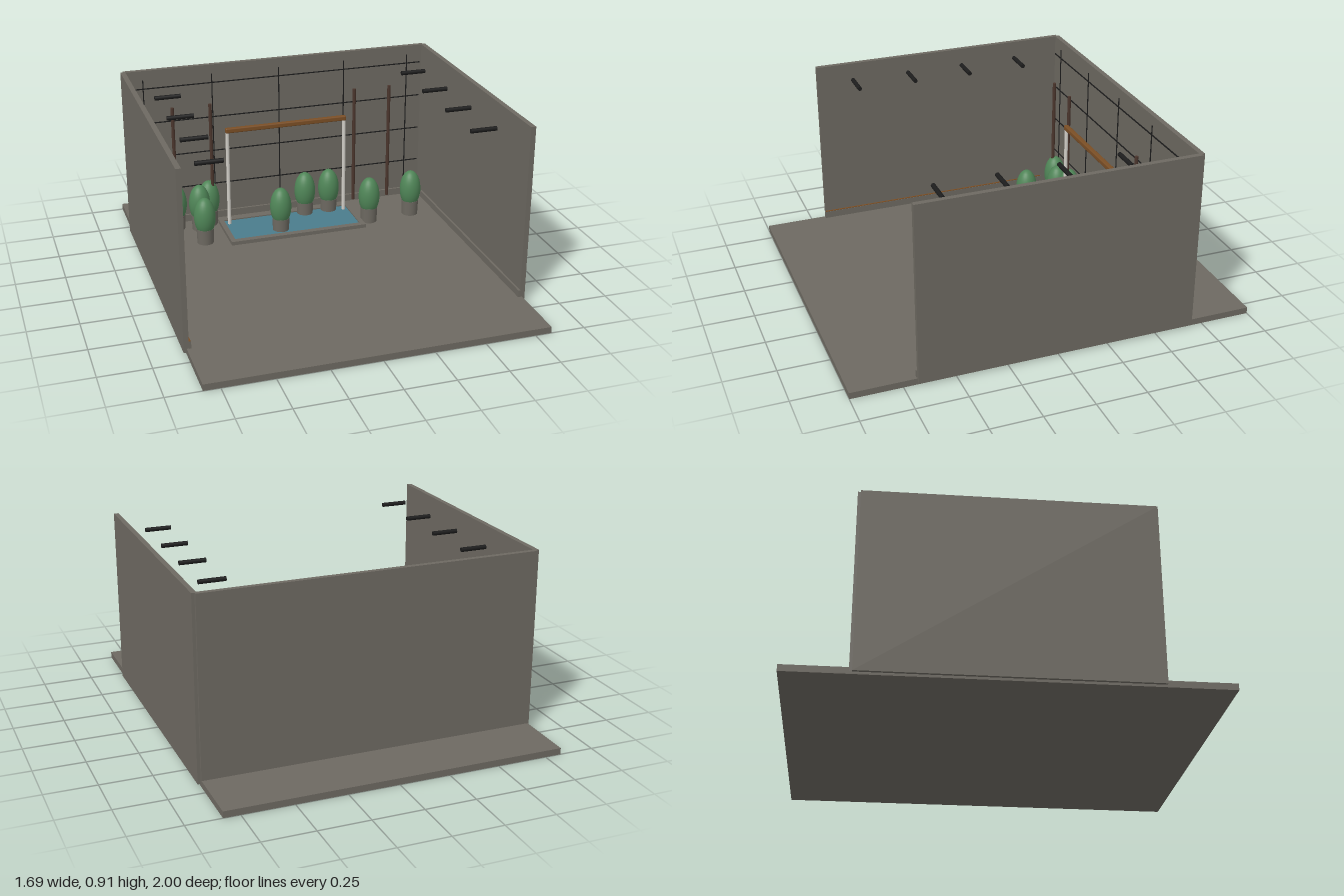
import * as THREE from 'three';
import { RoundedBoxGeometry } from 'three/addons/geometries/RoundedBoxGeometry.js';

function material(name, color) {
  const m = new THREE.MeshStandardMaterial({ color });
  m.name = name;
  return m;
}

export function createModel() {
  const stone = material('warm grey stone', 0x6d6961);
  const black = material('black metal', 0x1c1c1c);
  const darkWood = material('dark wood', 0x4a352c);
  const wood = material('wood', 0x7a4e25);
  const white = material('pale post', 0xd0cdc6);
  const water = material('water', 0x4a7c8c);
  const leaf = material('leaf green', 0x4f8557);

  const model = new THREE.Group();
  model.name = 'courtyard';

  function add(name, geometry, mat, x, y, z, parent = model) {
    const mesh = new THREE.Mesh(geometry, mat);
    mesh.name = name;
    mesh.position.set(x, y, z);
    parent.add(mesh);
    return mesh;
  }
  // Box given by its lower and upper limits on each axis
  function box(name, mat, x0, x1, y0, y1, z0, z1) {
    return add(name, new THREE.BoxGeometry(x1 - x0, y1 - y0, z1 - z0), mat,
      (x0 + x1) / 2, (y0 + y1) / 2, (z0 + z1) / 2);
  }

  // Floor slab and three walls
  box('floor', stone, -0.83, 0.83, 0, 0.032, -1, 1);
  box('backWall', stone, -0.83, 0.83, 0.012, 0.91, -0.697, -0.672);
  for (const s of [-1, 1]) {
    const side = s < 0 ? 'right' : 'left';
    add(side + 'Wall', new THREE.BoxGeometry(0.025, 0.898, 1.366), stone, s * 0.832, 0.461, 0);
    add(side + 'Baseboard', new THREE.BoxGeometry(0.012, 0.036, 1.28), stone, s * 0.815, 0.05, 0.046);
  }
  box('backBaseboard', stone, -0.818, 0.818, 0.032, 0.07, -0.672, -0.66);
  box('baseboardTrim', wood, -0.82, -0.811, 0.068, 0.071, -0.59, 0.683);

  // Panel joints on the back wall
  for (const y of [0.235, 0.427, 0.62, 0.812])
    box('horizontalJoint', black, -0.81, 0.81, y - 0.0025, y + 0.0025, -0.673, -0.667);
  for (const x of [-0.733, -0.367, 0, 0.367, 0.733])
    box('verticalJoint', black, x - 0.0025, x + 0.0025, 0.07, 0.86, -0.673, -0.668);

  // Rows of ceiling lights beside both walls
  const light = new THREE.CylinderGeometry(0.011, 0.011, 0.132, 16).rotateZ(Math.PI / 2);
  for (const s of [-1, 1])
    for (const z of [-0.388, -0.086, 0.214, 0.514]) add('lightBar', light, black, s * 0.66, 0.855, z);

  // Tall bamboo poles
  const pole = new THREE.CylinderGeometry(0.009, 0.009, 0.648, 16);
  for (const x of [-0.603, -0.402, 0.398, 0.598]) add('pole', pole, darkWood, x, 0.402, -0.578);

  // Pool: rim frame with water inside
  const rim = new THREE.Shape()
    .moveTo(-0.373, 0.29).lineTo(0.373, 0.29).lineTo(0.373, 0.597).lineTo(-0.373, 0.597);
  rim.closePath();
  rim.holes.push(new THREE.Path()
    .moveTo(-0.347, 0.322).lineTo(-0.347, 0.57).lineTo(0.347, 0.57).lineTo(0.347, 0.322));
  const rimGeometry = new THREE.ExtrudeGeometry(rim, { depth: 0.022, bevelEnabled: false });
  rimGeometry.rotateX(-Math.PI / 2);
  add('poolRim', rimGeometry, stone, 0, 0.03, 0);
  box('poolWater', water, -0.347, 0.347, 0.03, 0.046, -0.57, -0.322);

  // Gate over the pool
  const post = new THREE.CylinderGeometry(0.0095, 0.0095, 0.528, 24);
  for (const s of [-1, 1]) add('gatePost', post, white, s * 0.325, 0.31, -0.532);
  add('gateBeam', new RoundedBoxGeometry(0.668, 0.026, 0.026, 3, 0.006), wood, 0, 0.585, -0.532);

  // Potted shrubs
  const pot = new THREE.CylinderGeometry(0.046, 0.043, 0.083, 28);
  const bush = new THREE.SphereGeometry(0.057, 28, 18).scale(1, 1.85, 1);
  const spots = [[-0.602, -0.59], [-0.482, -0.553], [-0.42, -0.598], [-0.495, -0.376], [-0.078, -0.384],
    [0.108, -0.552], [0.246, -0.557], [0.419, -0.375], [0.668, -0.4]];
  for (const [x, z] of spots) {
    const plant = new THREE.Group();
    plant.name = 'pottedShrub';
    plant.position.set(x, 0.032, z);
    add('pot', pot, stone, 0, 0.041, 0, plant);
    add('bush', bush, leaf, 0, 0.147, 0, plant);
    model.add(plant);
  }
  return model;
}
